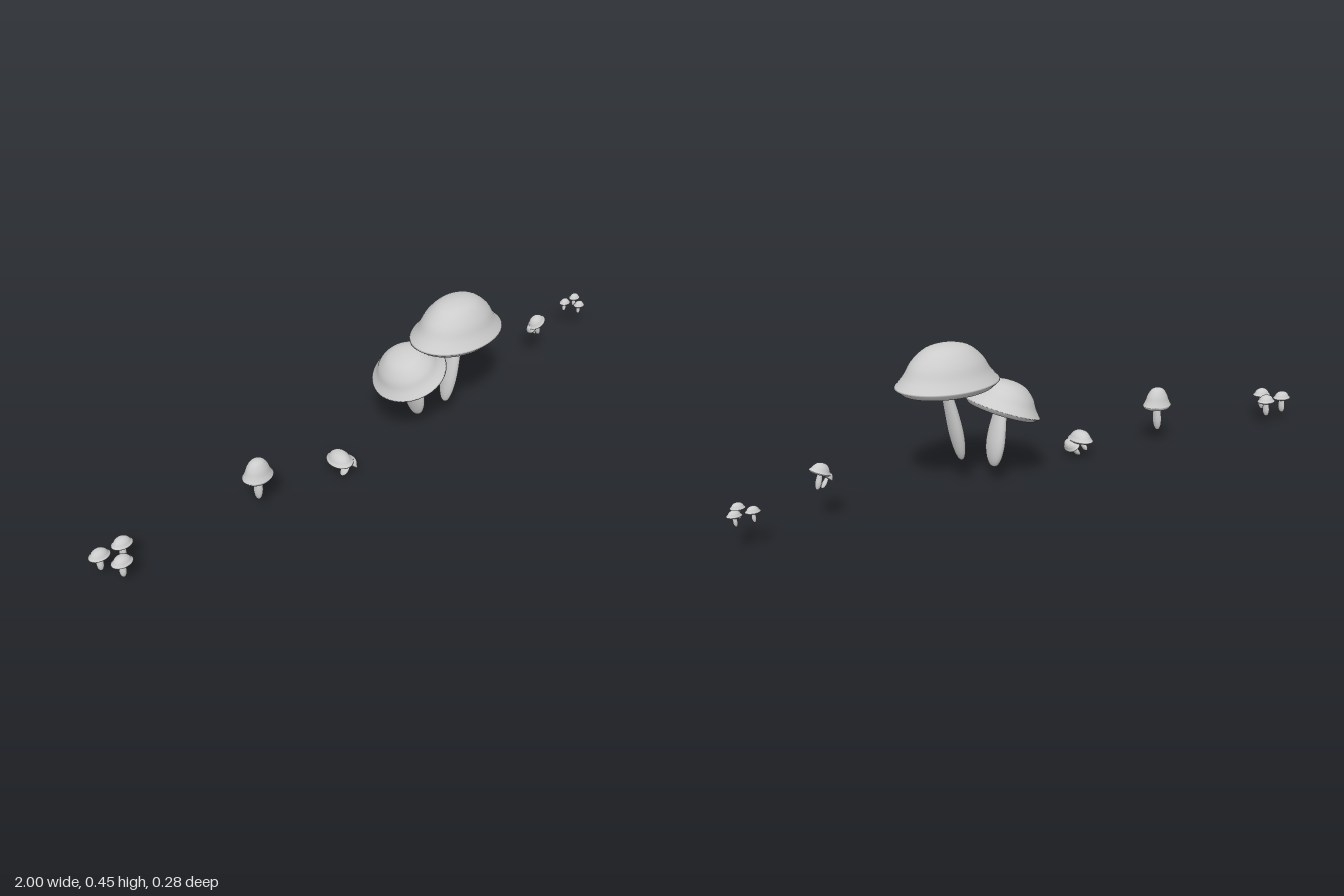
import * as THREE from 'three';

const material = new THREE.MeshStandardMaterial({ color: 0xcccccc, side: THREE.DoubleSide });

// Outer bell of the cap, as fractions of radius and height
const bell = new THREE.SplineCurve([
  [1, 0.12], [0.9, 0.25], [0.81, 0.39], [0.69, 0.63], [0.47, 0.87], [0.24, 0.97], [0, 1],
].map(([r, y]) => new THREE.Vector2(r, y)));

// Bell-shaped cap; pos is the centre of its underside, tilt is about z
function makeCap({ pos, rx, rz, h, tilt = 0 }, segments) {
  const rim = [new THREE.Vector2(0.001, 0.03), new THREE.Vector2(0.6, 0.02),
    new THREE.Vector2(0.87, 0), new THREE.Vector2(0.88, 0)];
  const points = [...rim, ...bell.getPoints(20)];
  points.forEach((p) => { p.x = Math.max(p.x, 0); });
  const cap = new THREE.Mesh(new THREE.LatheGeometry(points, segments).scale(rx, h, rz), material);
  cap.position.set(...pos);
  cap.rotation.z = tilt;
  cap.name = 'cap';
  return cap;
}

// Spindle stem, swept from foot to top with a gentle sideways bow
function makeStem({ foot, top, rx, rz, bow = 0 }, segments) {
  const spindle = new THREE.SplineCurve([
    [0, 0], [0.45, 0.04], [0.82, 0.17], [1, 0.38], [0.9, 0.65], [0.6, 1],
  ].map(([r, y]) => new THREE.Vector2(r, y)));
  const points = spindle.getPoints(20);
  points.forEach((p) => { p.x = Math.max(p.x, 0); });
  const geometry = new THREE.LatheGeometry(points, segments);
  const v = geometry.attributes.position;
  for (let i = 0; i < v.count; i++) {
    const t = v.getY(i);
    v.setXYZ(i,
      v.getX(i) * rx + foot[0] + (top[0] - foot[0]) * t + bow * 4 * t * (1 - t),
      foot[1] + (top[1] - foot[1]) * t,
      v.getZ(i) * rz + foot[2] + (top[2] - foot[2]) * t);
  }
  geometry.computeVertexNormals();
  const stem = new THREE.Mesh(geometry, material);
  stem.name = 'stem';
  return stem;
}

function makeMushroom(name, cap, stem, segments = 32) {
  const group = new THREE.Group();
  group.name = name;
  group.add(makeCap(cap, segments), makeStem(stem, segments));
  return group;
}

// Three small upright mushrooms sharing one size
function makeTrio(name, spots, { rx, rz, h, capY, footY, stemR }) {
  const trio = new THREE.Group();
  trio.name = name;
  spots.forEach(([x, z], i) => trio.add(makeMushroom(`${name}${i + 1}`,
    { pos: [x, capY, z], rx, rz, h },
    { foot: [x - 0.003, footY, z], top: [x, capY + h * 0.2, z], rx: stemR * 0.8, rz: stemR }, 24)));
  return trio;
}

export function createModel() {
  const model = new THREE.Group();
  model.name = 'mushrooms';

  // Large central pair
  model.add(
    makeMushroom('tallMushroom',
      { pos: [0.28, 0.313, 0.016], rx: 0.165, rz: 0.121, h: 0.137 },
      { foot: [0.238, 0.075, 0.017], top: [0.292, 0.33, 0.015], rx: 0.021, rz: 0.031, bow: -0.003 }, 48),
    makeMushroom('leaningMushroom',
      { pos: [0.118, 0.22, -0.018], rx: 0.12, rz: 0.121, h: 0.098, tilt: 0.36 },
      { foot: [0.15, 0.048, -0.022], top: [0.116, 0.24, -0.018], rx: 0.023, rz: 0.041, bow: 0.004 }, 48),
  );

  // Lone bell mushroom
  model.add(makeMushroom('bellMushroom',
    { pos: [-0.47, 0.122, -0.029], rx: 0.05, rz: 0.041, h: 0.069 },
    { foot: [-0.474, 0.043, -0.029], top: [-0.469, 0.14, -0.029], rx: 0.013, rz: 0.017 }));

  // Low pair on the right of centre, the smaller one leaning outward
  model.add(
    makeMushroom('lowMushroom',
      { pos: [-0.19, 0.053, 0.005], rx: 0.037, rz: 0.049, h: 0.035, tilt: 0.06 },
      { foot: [-0.2, 0.022, -0.012], top: [-0.188, 0.06, 0], rx: 0.009, rz: 0.014 }),
    makeMushroom('lowSideMushroom',
      { pos: [-0.166, 0.038, 0.015], rx: 0.026, rz: 0.037, h: 0.025, tilt: -0.75 },
      { foot: [-0.19, 0, 0.014], top: [-0.163, 0.042, 0.015], rx: 0.011, rz: 0.014 }),
  );

  // Tilted pair on the left
  model.add(
    makeMushroom('tiltedMushroom',
      { pos: [0.709, 0.152, -0.022], rx: 0.034, rz: 0.027, h: 0.031, tilt: 0.4 },
      { foot: [0.718, 0.104, -0.021], top: [0.706, 0.16, -0.022], rx: 0.009, rz: 0.012 }),
    makeMushroom('tiltedSideMushroom',
      { pos: [0.691, 0.137, -0.027], rx: 0.02, rz: 0.019, h: 0.018, tilt: 0.75 },
      { foot: [0.706, 0.108, -0.027], top: [0.688, 0.14, -0.027], rx: 0.007, rz: 0.01 }),
  );

  // Small trios at both ends
  model.add(
    makeTrio('rightTrio', [[-0.967, -0.093], [-0.895, -0.093], [-0.933, -0.03]],
      { rx: 0.033, rz: 0.026, h: 0.026, capY: 0.078, footY: 0.028, stemR: 0.013 }),
    makeTrio('leftTrio', [[0.927, -0.084], [0.978, -0.084], [0.953, -0.04]],
      { rx: 0.022, rz: 0.017, h: 0.018, capY: 0.112, footY: 0.082, stemR: 0.008 }),
  );
  return model;
}
